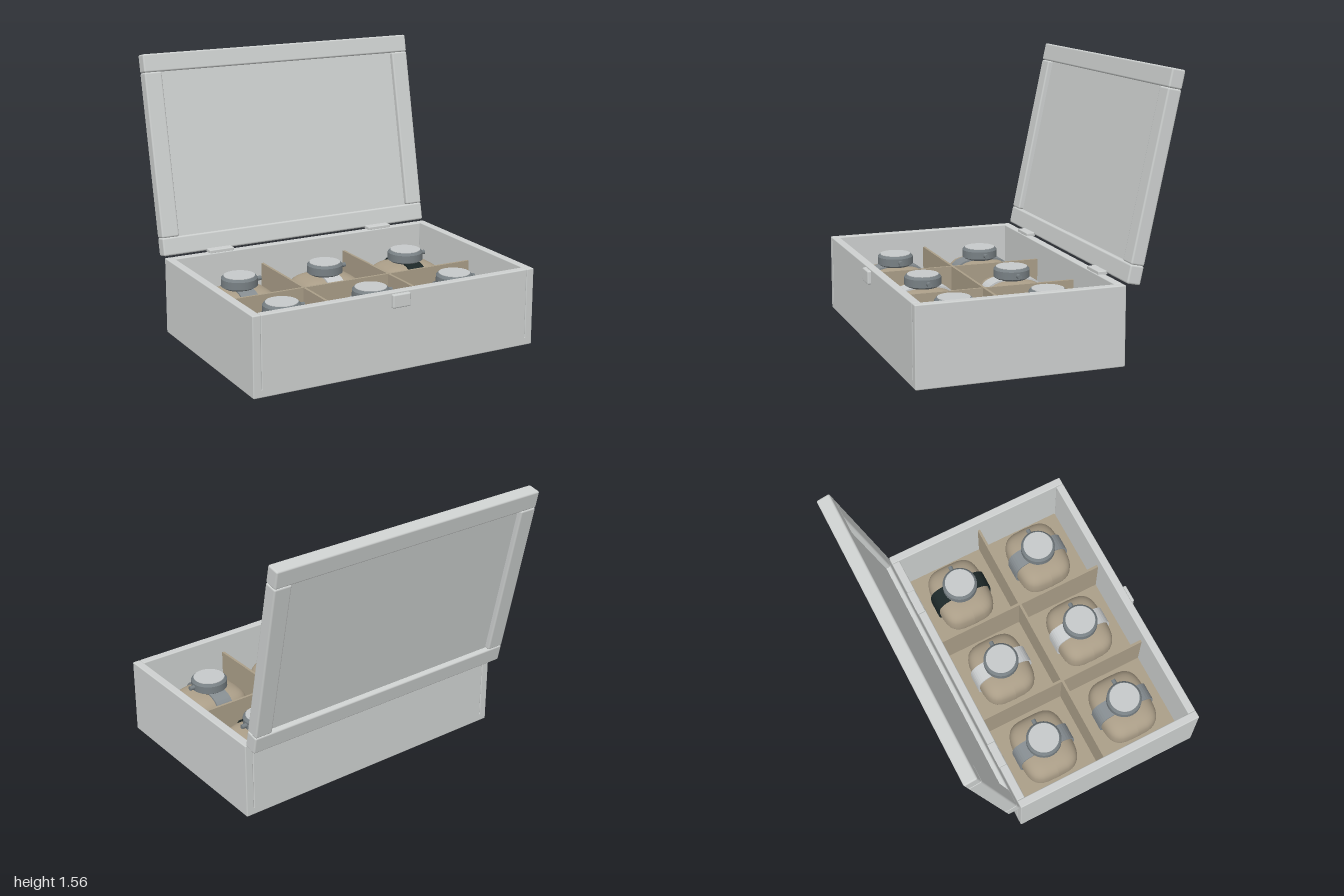
import * as THREE from 'three';
import { RoundedBoxGeometry } from 'three/addons/geometries/RoundedBoxGeometry.js';

const material = (name, color) => {
  const m = new THREE.MeshStandardMaterial({ color });
  m.name = name;
  return m;
};

const W = 1.71, D = 1.15, H = 0.44, T = 0.047; // case width, depth, height, wall

export function createModel() {
  const paint = material('pale grey paint', 0xcdd0cf);
  const lining = material('beige lining', 0xaa9e88);
  const cushionCloth = material('beige cushion', 0xaa9d87);
  const steel = material('steel', 0x788084);
  const dialGrey = material('dial grey', 0xc6c9ca);
  const greyStrap = material('grey strap', 0x868d91);
  const paleStrap = material('pale strap', 0xc9cccd);
  const blackStrap = material('black strap', 0x1d2828);

  const add = (parent, name, geometry, mat, x = 0, y = 0, z = 0) => {
    const mesh = new THREE.Mesh(geometry, mat);
    mesh.name = name;
    mesh.position.set(x, y, z);
    parent.add(mesh);
    return mesh;
  };
  const slab = (w, h, d, r = 0.006) => new RoundedBoxGeometry(w, h, d, 2, r);
  const group = (parent, name) => {
    const g = new THREE.Group();
    g.name = name;
    parent.add(g);
    return g;
  };

  const model = new THREE.Group();
  model.name = 'watchBox';
  const box = group(model, 'box');
  box.position.set(0.035, 0, 0.15);
  box.rotation.y = THREE.MathUtils.degToRad(13);

  // Case: floor, side walls, front and back walls set between them
  add(box, 'floor', slab(W, 0.047, D), paint, 0, 0.0235, 0);
  for (const s of [-1, 1]) {
    add(box, 'sideWall', slab(T, H, D), paint, s * (W - T) / 2, H / 2, 0);
    add(box, s > 0 ? 'frontWall' : 'backWall', slab(W - 2 * T, H, T), paint, 0, H / 2, s * (D - T) / 2);
  }
  add(box, 'clasp', slab(0.108, 0.075, 0.03, 0.008), paint, 0, 0.393, D / 2 + 0.005);

  // Lining and dividers
  const innerW = W - 2 * T, innerD = D - 2 * T;
  add(box, 'lining', new THREE.BoxGeometry(innerW, 0.008, innerD), lining, 0, 0.048, 0);
  add(box, 'longDivider', new THREE.BoxGeometry(innerW, 0.29, 0.015), lining, 0, 0.195, 0);
  for (const s of [-1, 1]) {
    add(box, 'crossDivider', new THREE.BoxGeometry(0.015, 0.288, innerD), lining, s * innerW / 6, 0.195, 0);
    add(box, 'hinge', slab(0.15, 0.022, 0.055, 0.005), paint, s * 0.52, 0.447, -0.56);
  }

  // Lid: framed panel leaning back from the hinge line
  const lid = group(box, 'lid');
  lid.position.set(0, 0.447, -D / 2 - 0.003);
  lid.rotation.x = THREE.MathUtils.degToRad(-12);
  const L = 1.14, rail = 0.103, thick = 0.078;
  for (const s of [-1, 1]) {
    add(lid, 'lidRail', slab(W, rail, thick, 0.01), paint, 0, L / 2 + s * (L - rail) / 2, -thick / 2);
    add(lid, 'lidStile', slab(rail, L - 2 * rail, thick, 0.01), paint, s * (W - rail) / 2, L / 2, -thick / 2);
  }
  add(lid, 'lidPanel', new THREE.BoxGeometry(W - 2 * rail + 0.02, L - 2 * rail + 0.02, 0.018), paint, 0, L / 2, -thick / 2);

  // Cushion: sphere squared off into a soft block
  const power = (v, e) => Math.sign(v) * Math.abs(v) ** e;
  const cushionGeometry = new THREE.SphereGeometry(1, 32, 20);
  const p = cushionGeometry.attributes.position;
  for (let i = 0; i < p.count; i++) {
    const y = p.getY(i), ring = Math.hypot(p.getX(i), p.getZ(i));
    const spread = ring > 1e-6 ? ring ** 0.65 / ring : 0;
    const cx = ring > 1e-6 ? p.getX(i) / ring : 0, cz = ring > 1e-6 ? p.getZ(i) / ring : 0;
    p.setXYZ(i,
      0.195 * ring * spread * power(cx, 0.55),
      0.122 * power(y, 0.65),
      0.166 * ring * spread * power(cz, 0.55));
  }
  cushionGeometry.computeVertexNormals();

  // Strap: closed band around the cushion
  const loop = (a, b) => Array.from({ length: 40 }, (_, i) => {
    const t = i / 40 * Math.PI * 2;
    return new THREE.Vector2(a * power(Math.cos(t), 0.65), b * power(Math.sin(t), 0.65));
  });
  const bandShape = new THREE.Shape(loop(0.177, 0.131));
  bandShape.holes.push(new THREE.Path(loop(0.167, 0.122)));
  const strapGeometry = new THREE.ExtrudeGeometry(bandShape, { depth: 0.1, bevelEnabled: false });
  strapGeometry.translate(0, 0, -0.05).rotateY(Math.PI / 2);

  // Watch case with a chamfered bezel, dial and crown
  const caseProfile = [[0, 0], [0.085, 0], [0.085, 0], [0.103, 0.012], [0.103, 0.012], [0.103, 0.055],
    [0.103, 0.055], [0.092, 0.068], [0.092, 0.068], [0, 0.068]].map(([x, y]) => new THREE.Vector2(x, y));
  const caseGeometry = new THREE.LatheGeometry(caseProfile, 40);
  const dialGeometry = new THREE.CylinderGeometry(0.088, 0.088, 0.006, 40);
  const crownGeometry = new THREE.CylinderGeometry(0.013, 0.013, 0.034, 14).rotateZ(Math.PI / 2);

  const straps = [
    [greyStrap, paleStrap, blackStrap], // back row
    [greyStrap, paleStrap, greyStrap],  // front row
  ];
  straps.forEach((row, r) => row.forEach((strapMaterial, c) => {
    const watch = group(box, 'watch');
    watch.position.set((c - 1) * innerW / 3, 0, (r - 0.5) * innerD / 2);
    add(watch, 'cushion', cushionGeometry, cushionCloth, 0, 0.185, 0);
    add(watch, 'strap', strapGeometry, strapMaterial, 0, 0.185, 0);
    add(watch, 'watchCase', caseGeometry, steel, 0, 0.308, 0);
    add(watch, 'dial', dialGeometry, dialGrey, 0, 0.376, 0);
    add(watch, 'crown', crownGeometry, steel, 0.115, 0.342, 0);
  }));

  return model;
}
